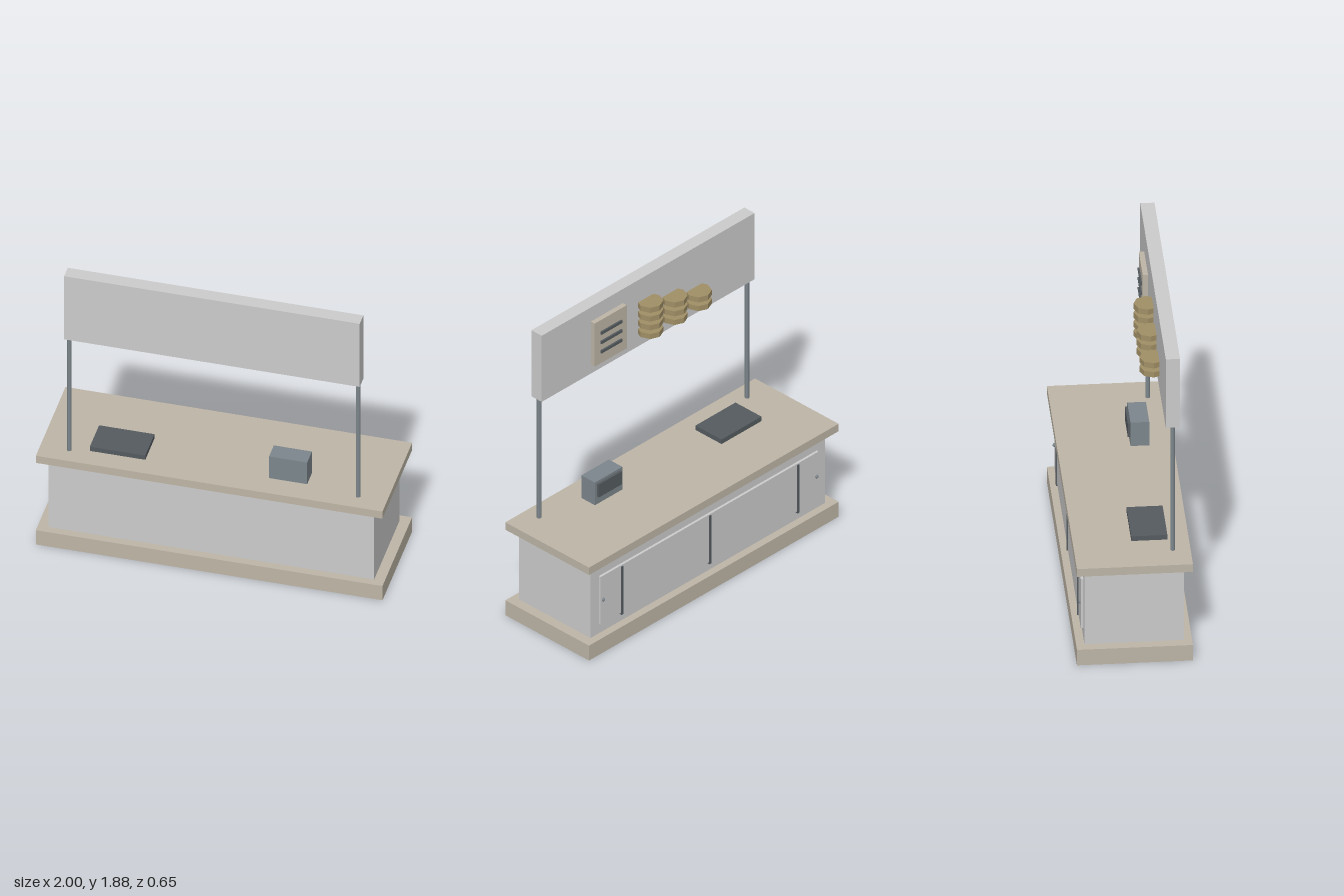
import * as THREE from 'three';

const mat = (color) => new THREE.MeshStandardMaterial({ color, flatShading: true });

export function createModel() {
  const stall = new THREE.Group();
  stall.name = 'serviceCounter';
  const grey = mat(0xcccccc);
  const warm = mat(0xbdb5a6);
  const steel = mat(0x7c868c);
  const dark = mat(0x555b60);
  const brass = mat(0xa08f66);

  const add = (name, geometry, material, parent = stall) => {
    const mesh = new THREE.Mesh(geometry, material);
    mesh.name = name;
    parent.add(mesh);
    return mesh;
  };
  // Box given by its lower and upper limits on each axis
  const box = (name, [x0, x1], [y0, y1], [z0, z1], material, parent) => {
    const mesh = add(name, new THREE.BoxGeometry(x1 - x0, y1 - y0, z1 - z0), material, parent);
    mesh.position.set((x0 + x1) / 2, (y0 + y1) / 2, (z0 + z1) / 2);
    return mesh;
  };

  // Counter: plinth, body and worktop
  box('plinth', [-1, 1], [0, 0.1], [-0.325, 0.325], warm);
  box('counterBody', [-0.94, 0.94], [0.1, 0.575], [-0.278, 0.278], grey);
  box('worktop', [-1, 1], [0.575, 0.625], [-0.325, 0.325], warm);

  // Cupboard front on the back, with dividers and knobs
  const cupboard = new THREE.Group();
  cupboard.name = 'cupboard';
  stall.add(cupboard);
  box('doorPanel', [-0.873, 0.873], [0.165, 0.485], [-0.293, -0.276], grey, cupboard);
  for (const x of [-0.705, 0, 0.705]) {
    box('doorDivider', [x - 0.007, x + 0.007], [0.155, 0.478], [-0.3, -0.276], dark, cupboard);
  }
  for (const side of [-1, 1]) {
    const knob = add('doorKnob', new THREE.SphereGeometry(0.011, 8, 6), steel, cupboard);
    knob.position.set(side * 0.855, 0.327, -0.295);
  }

  // Posts and overhead sign board
  for (const side of [-1, 1]) {
    const post = add('post', new THREE.CylinderGeometry(0.0133, 0.0133, 0.81, 8), steel);
    post.position.set(side * 0.833, 1.03, 0.225);
  }
  box('signBoard', [-0.853, 0.853], [1.43, 1.875], [0.185, 0.265], grey);

  // Price panel behind the sign, with three raised lines
  const panel = new THREE.Group();
  panel.name = 'pricePanel';
  stall.add(panel);
  box('panelPlate', [0.213, 0.47], [1.5, 1.79], [0.145, 0.175], warm, panel);
  for (const y of [1.58, 1.643, 1.706]) {
    box('panelLine', [0.258, 0.425], [y - 0.009, y + 0.009], [0.135, 0.15], dark, panel);
  }

  // Stacks of spaced eight-sided discs, partly sunk into the sign
  [[0.02, 4], [-0.175, 3], [-0.368, 2]].forEach(([x, count]) => {
    const stack = new THREE.Group();
    stack.name = 'discStack';
    stall.add(stack);
    for (let i = 0; i < count; i++) {
      const disc = add('disc', new THREE.CylinderGeometry(0.075, 0.075, 0.034, 8), brass, stack);
      disc.position.set(x, 1.532 + i * 0.0587, 0.152);
    }
  });

  // Items on the worktop
  box('tray', [-0.72, -0.4], [0.625, 0.655], [0.003, 0.205], dark);
  const register = new THREE.Group();
  register.name = 'register';
  stall.add(register);
  box('registerBody', [0.31, 0.53], [0.625, 0.777], [0.085, 0.19], steel, register);
  box('registerScreen', [0.328, 0.512], [0.675, 0.762], [0.071, 0.09], dark, register);

  return stall;
}
